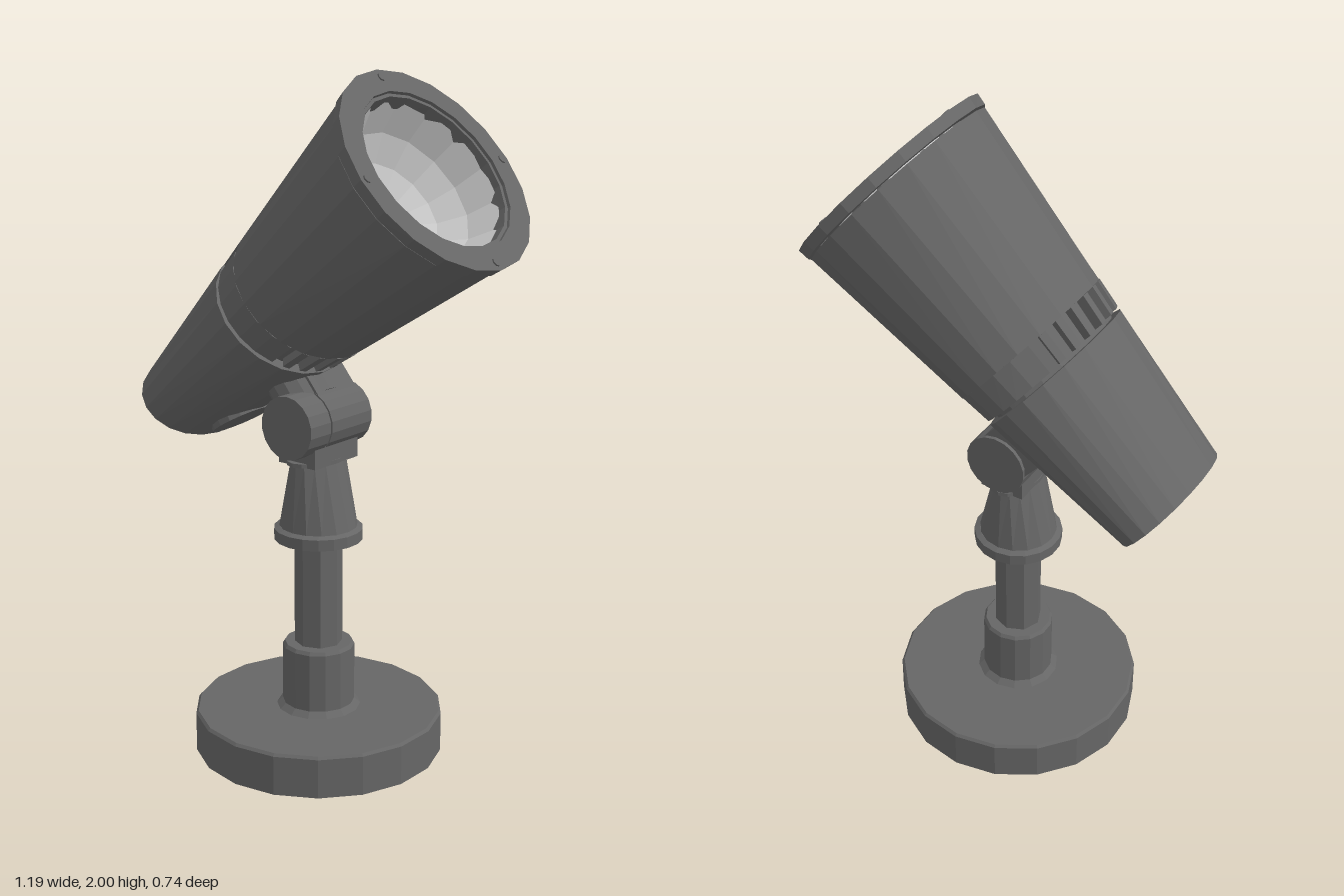
import * as THREE from 'three';

const dark = new THREE.MeshStandardMaterial({ color: 0x666666, flatShading: true, side: THREE.DoubleSide });
const light = new THREE.MeshStandardMaterial({ color: 0xcccccc, flatShading: true, side: THREE.DoubleSide });

function add(parent, name, geometry, material = dark, x = 0, y = 0, z = 0) {
  const mesh = new THREE.Mesh(geometry, material);
  mesh.name = name;
  mesh.position.set(x, y, z);
  parent.add(mesh);
  return mesh;
}

const lathe = (points, sides) =>
  new THREE.LatheGeometry(points.map(([r, y]) => new THREE.Vector2(r, y)), sides);

const LENGTH = 1.169;

// Tapered housing skin: oval at the back, round at the front.
// Each section is [distance along axis, inset from skin, optional scale].
function loft(sections, from = 0, to = Math.PI * 2, steps = 20) {
  const pos = [], index = [], n = sections.length;
  for (let i = 0; i <= steps; i++) {
    const angle = from + (to - from) * i / steps;
    for (const [t, inset, scale = 1] of sections) {
      const k = t / LENGTH;
      pos.push((0.138 + 0.182 * k - inset) * scale * Math.cos(angle), t,
        (0.215 + 0.105 * k - inset) * scale * Math.sin(angle));
    }
  }
  for (let i = 0; i < steps; i++) {
    for (let j = 0; j < n - 1; j++) {
      const p = i * n + j, q = p + n;
      index.push(p, p + 1, q, q, p + 1, q + 1);
    }
  }
  // Close the two ends of a partial sweep
  if (to - from < 6) {
    for (let j = 1; j < n - 1; j++) {
      const e = steps * n;
      index.push(0, j + 1, j, e, e + j, e + j + 1);
    }
  }
  const geometry = new THREE.BufferGeometry();
  geometry.setAttribute('position', new THREE.Float32BufferAttribute(pos, 3));
  geometry.setIndex(index);
  geometry.computeVertexNormals();
  return geometry;
}

function createStand() {
  const stand = new THREE.Group();
  stand.name = 'stand';
  stand.position.x = -0.02;
  add(stand, 'base', lathe([[0, 0], [0.37, 0], [0.37, 0.118], [0.363, 0.126], [0, 0.126]], 18));
  add(stand, 'socket', lathe([[0.125, 0.126], [0.107, 0.142], [0.107, 0.318], [0.1, 0.328], [0, 0.328]], 14));
  add(stand, 'pole', new THREE.CylinderGeometry(0.071, 0.071, 0.36, 8), dark, 0, 0.49);
  add(stand, 'collar', lathe([[0, 0.652], [0.131, 0.652], [0.131, 0.685], [0.115, 0.692], [0, 0.692]], 18));

  // Neck narrows more in x than in z
  const neck = new THREE.CylinderGeometry(0.1, 0.115, 0.2, 16);
  const p = neck.attributes.position;
  for (let i = 0; i < p.count; i++) if (p.getY(i) > 0) p.setX(i, p.getX(i) * 0.65);
  neck.computeVertexNormals();
  add(stand, 'neck', neck, dark, 0, 0.79);
  add(stand, 'neckFlange', new THREE.CylinderGeometry(0.115, 0.115, 0.012, 16), dark, 0, 0.896).scale.x = 0.62;
  add(stand, 'yoke', new THREE.BoxGeometry(0.136, 0.09, 0.19), dark, 0, 0.935);

  // Tilting joint in two halves with a thin seam
  for (const [name, z0, z1] of [['jointCap', 0.053, 0.14], ['jointBarrel', -0.13, 0.047]]) {
    add(stand, name, new THREE.CylinderGeometry(0.093, 0.093, z1 - z0, 18), dark, 0, 1.01, (z0 + z1) / 2)
      .rotation.x = Math.PI / 2;
  }
  add(stand, 'jointPin', new THREE.CylinderGeometry(0.08, 0.08, 0.2, 16), dark, 0, 1.01).rotation.x = Math.PI / 2;
  return stand;
}

function createLamp() {
  // Local y runs along the beam; local +x is the underside
  const lamp = new THREE.Group();
  lamp.name = 'lampHead';
  lamp.position.set(-0.507, 1.005, 0);
  lamp.rotation.z = -THREE.MathUtils.degToRad(50);

  add(lamp, 'rearHousing', loft([[0, 0, 0], [0, 0], [0.483, 0], [0.483, 0.05]]));
  add(lamp, 'innerCore', loft([[0.45, 0.03], [0.6, 0.03]]));
  add(lamp, 'frontHousing', loft([[0.585, 0.05], [0.585, 0.002], [1.13, 0.005], [1.13, 0.03]]));
  add(lamp, 'frontRim', loft([[1.135, 0.03], [1.135, 0], [1.169, 0], [1.169, 0.07], [1.16, 0.07],
    [1.16, 0.08], [1.12, 0.08]]));

  // Vent slots above and below, left open between solid blocks
  const pitch = 0.24, half = 0.075;
  for (const middle of [0, Math.PI]) {
    for (let i = -3; i <= 3; i++) {
      const from = middle + i * pitch + half;
      const to = i < 3 ? from + pitch - 2 * half : middle + Math.PI - 3 * pitch - half;
      add(lamp, 'ventBlock', loft([[0.495, 0.035], [0.495, 0.002], [0.585, 0.002], [0.585, 0.035]],
        from, to, i < 3 ? 1 : 6));
    }
  }

  // Faceted reflector bowl
  add(lamp, 'reflector', lathe([[0.001, 0.93], [0.08, 0.945], [0.15, 0.985], [0.205, 1.05], [0.24, 1.14]], 14), light);

  // Four rim screws
  for (let i = 0; i < 4; i++) {
    const a = i * Math.PI / 2;
    add(lamp, 'rimScrew', new THREE.CylinderGeometry(0.013, 0.013, 0.008, 8), dark,
      0.295 * Math.cos(a), 1.169, 0.295 * Math.sin(a));
  }

  // Mount reaching from the underside to the joint
  const stub = add(lamp, 'mountPad', new THREE.CylinderGeometry(0.085, 0.085, 0.11, 16), dark, 0.205, 0.38, -0.01);
  stub.rotation.z = Math.PI / 2;
  stub.scale.z = 1.3;
  add(lamp, 'mountArm', new THREE.BoxGeometry(0.14, 0.16, 0.165), dark, 0.25, 0.38, -0.037);

  // Round cover plate under the rear housing
  add(lamp, 'coverPlate', new THREE.CylinderGeometry(0.095, 0.095, 0.02, 16), dark, 0.148, 0.115)
    .rotation.z = -Math.PI / 2 - 0.155;
  return lamp;
}

export function createModel() {
  const model = new THREE.Group();
  model.name = 'spotlight';
  model.add(createStand(), createLamp());
  return model;
}
